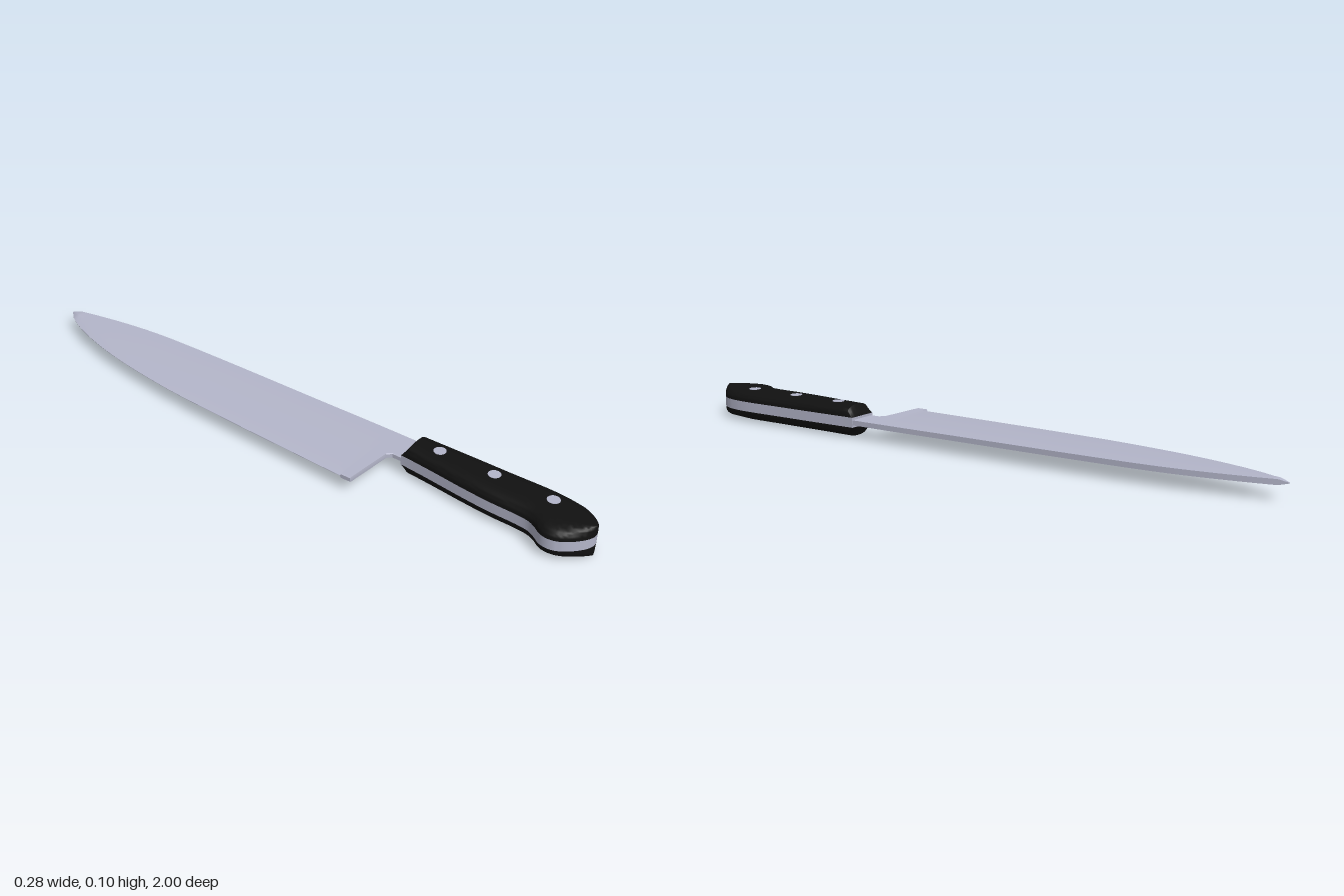
import * as THREE from 'three';
import { toCreasedNormals } from 'three/addons/utils/BufferGeometryUtils.js';

const MID = 0.051; // height of the knife's centre plane

// Skin a list of equal-length convex rings ({ z, pts: [[x, y], ...] }) and cap both ends
function loft(rings, crease = 0.6) {
  const pos = [], idx = [], n = rings[0].pts.length, last = (rings.length - 1) * n;
  rings.forEach(r => r.pts.forEach(([x, y]) => pos.push(x, y + MID, r.z)));
  for (let k = 0; k < last; k += n) {
    for (let i = 0; i < n; i++) {
      const j = (i + 1) % n;
      idx.push(k + i, k + j, k + n + j, k + i, k + n + j, k + n + i);
    }
  }
  for (let i = 1; i < n - 1; i++) idx.push(0, i + 1, i, last, last + i, last + i + 1);
  const g = new THREE.BufferGeometry();
  g.setAttribute('position', new THREE.Float32BufferAttribute(pos, 3));
  g.setIndex(idx);
  return toCreasedNormals(g, crease);
}

// Smooth outline from rows of [z, left x, right x]
function outline(rows, steps) {
  const curve = new THREE.CatmullRomCurve3(rows.map(([z, a, b]) => new THREE.Vector3(a, b, z)), false, 'centripetal');
  return curve.getPoints((rows.length - 1) * steps).map(p => ({ z: p.z, a: p.x, b: p.y }));
}

export function createModel() {
  const steel = new THREE.MeshStandardMaterial({ color: 0xb4b6ca });
  steel.name = 'steel';
  const black = new THREE.MeshStandardMaterial({ color: 0x111111 });
  black.name = 'black grip';
  const group = new THREE.Group();
  group.name = 'kitchenKnife';
  const add = (name, geo, mat) => {
    const m = new THREE.Mesh(geo, mat);
    m.name = name;
    group.add(m);
    return m;
  };

  // Blade: bevelled cutting edge on -x, thick spine on +x
  const section = (z, a, b, bevel, edge, t = 0.008) => ({
    z, pts: [[a, -edge], [a + bevel, -t], [b, -t], [b, t], [a + bevel, t], [a, edge]],
  });
  const bladeRows = [
    [-1, 0.047, 0.051], [-0.97, 0.022, 0.059], [-0.9, -0.013, 0.075], [-0.8, -0.046, 0.094],
    [-0.7, -0.07, 0.108], [-0.6, -0.088, 0.116], [-0.4, -0.112, 0.122], [-0.2, -0.123, 0.125],
    [0, -0.131, 0.127], [0.2, -0.137, 0.13], [0.3, -0.14, 0.131],
  ];
  const blade = outline(bladeRows, 4).map(({ z, a, b }) =>
    section(z, a, b, Math.min(0.03, (b - a) * 0.4), 0.0006, Math.min(0.008, 0.001 + (z + 1) * 0.25)));
  // Unsharpened heel, then the neck running into the handle
  blade.push(
    section(0.303, -0.14, 0.131, 0.004, 0.006),
    section(0.335, -0.139, 0.131, 0.004, 0.006),
    section(0.345, 0.02, 0.131, 0.004, 0.006),
    section(0.36, 0.034, 0.131, 0.004, 0.006),
    section(0.42, 0.034, 0.131, 0.004, 0.006),
  );
  add('blade', loft(blade, 0.3), steel);

  // Handle outline shared by tang and grips
  const handle = outline([
    [0.39, 0.032, 0.132], [0.41, 0.031, 0.132], [0.5, 0.022, 0.134], [0.6, 0.01, 0.136],
    [0.7, 0.001, 0.137], [0.79, -0.001, 0.139], [0.83, -0.006, 0.139], [0.855, -0.018, 0.138],
    [0.88, -0.035, 0.136], [0.905, -0.04, 0.132], [0.93, -0.035, 0.126], [0.955, -0.019, 0.114],
    [0.98, 0.007, 0.094], [0.994, 0.028, 0.076], [1, 0.045, 0.06],
  ], 3);
  const TANG = 0.016;
  add('tang', loft(handle.map(({ z, a, b }) => ({
    z, pts: [[a, -TANG], [b, -TANG], [b, TANG], [a, TANG]],
  }))), steel);

  // Domed grips above and below, sloping down to the blade at the front
  const ARC = 20, POWER = 2 / 2.7;
  for (const side of [1, -1]) {
    const rings = handle.map(({ z, a, b }) => {
      const rise = 0.034 * THREE.MathUtils.clamp((z - 0.39) / 0.02, 0.03, 1);
      const pts = [];
      for (let i = 0; i <= ARC; i++) {
        const t = Math.PI * i / ARC, c = Math.cos(t), s = Math.max(0, Math.sin(t));
        pts.push([
          (a + b) / 2 + (b - a) / 2 * Math.sign(c) * Math.abs(c) ** POWER,
          side * (TANG + rise * s ** POWER),
        ]);
      }
      return { z, pts: side > 0 ? pts : pts.reverse() };
    });
    add(side > 0 ? 'upperGrip' : 'lowerGrip', loft(rings), black);
  }

  // Three rivets through the handle
  for (const z of [0.49, 0.67, 0.855]) {
    add('rivet', new THREE.CylinderGeometry(0.019, 0.019, 0.102, 24), steel).position.set(0.079, MID, z);
  }
  return group;
}
